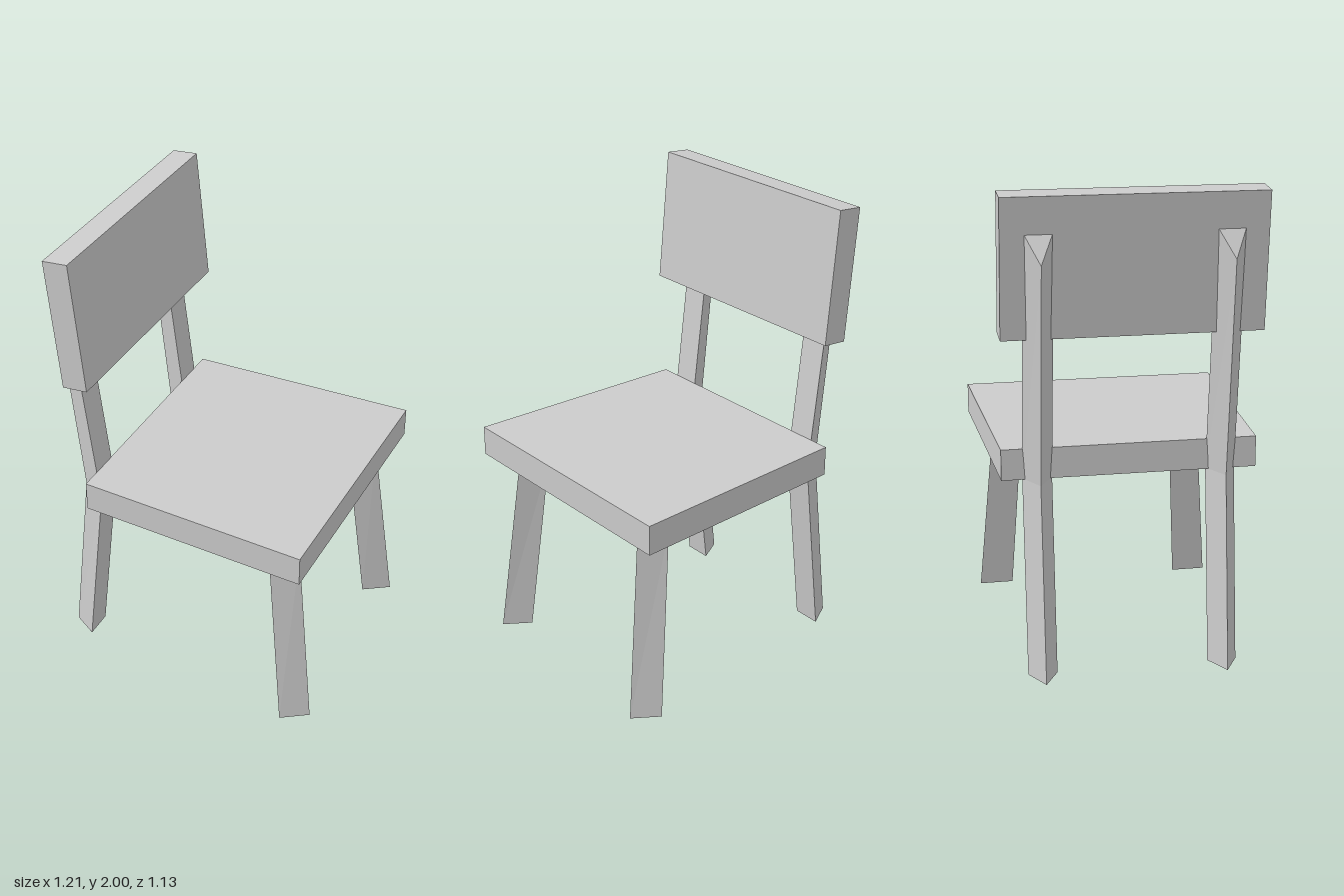
import * as THREE from 'three';

const material = new THREE.MeshStandardMaterial({ color: 0xcccccc, flatShading: true });

// Joins rings of [x, y, z] points, listed bottom to top, into a closed faceted solid.
// Each ring runs counter-clockwise as seen from above.
function loft(name, rings) {
  const n = rings[0].length;
  const index = [];
  for (let r = 0; r < rings.length - 1; r++) {
    for (let i = 0; i < n; i++) {
      const a = r * n + i, b = r * n + (i + 1) % n;
      index.push(a, b, b + n, a, b + n, a + n);
    }
  }
  const top = (rings.length - 1) * n;
  for (let i = 1; i < n - 1; i++) {
    index.push(0, i + 1, i, top, top + i, top + i + 1);
  }
  const indexed = new THREE.BufferGeometry();
  indexed.setAttribute('position', new THREE.Float32BufferAttribute(rings.flat(2), 3));
  indexed.setIndex(index);
  const geometry = indexed.toNonIndexed();
  geometry.computeVertexNormals();
  const mesh = new THREE.Mesh(geometry, material);
  mesh.name = name;
  return mesh;
}

// Four-cornered ring with a back edge and a front edge, each [x, y, half width].
const slabRing = ([bx, by, bw], [fx, fy, fw]) =>
  [[bx, by, bw], [fx, fy, fw], [fx, fy, -fw], [bx, by, -bw]];

// Three-cornered ring: a ridge point and a flat side opposite it, [x, y] each.
function legRing(ridge, flat, z, half) {
  const left = [...flat, z + half], right = [...flat, z - half], point = [...ridge, z];
  return ridge[0] > flat[0] ? [left, point, right] : [left, right, point];
}

export function createModel() {
  const chair = new THREE.Group();
  chair.name = 'chair';

  // Seat, slightly wider at its front edge
  chair.add(loft('seat', [0.825, 0.955].map(
    (y) => slabRing([-0.42, y, 0.528], [0.58, y, 0.567]))));

  // Tilted backrest panel
  chair.add(loft('backrest', [
    slabRing([-0.495, 1.422, 0.53], [-0.385, 1.432, 0.53]),
    slabRing([-0.548, 1.99, 0.53], [-0.437, 2.0, 0.53]),
  ]));

  for (const side of [1, -1]) {
    const label = side > 0 ? 'Left' : 'Right';

    // Splayed triangular front leg
    chair.add(loft('frontLeg' + label, [
      legRing([0.605, 0], [0.495, 0], side * 0.462, 0.075),
      legRing([0.51, 0.826], [0.402, 0.826], side * 0.406, 0.066),
    ]));

    // Triangular back leg, bent at the seat and cut at a slant behind the backrest
    chair.add(loft('backLeg' + label, [
      legRing([-0.608, 0], [-0.5, 0], side * 0.38, 0.061),
      legRing([-0.513, 0.825], [-0.403, 0.825], side * 0.38, 0.061),
      legRing([-0.608, 1.735], [-0.525, 1.855], side * 0.38, 0.061),
    ]));
  }
  return chair;
}
